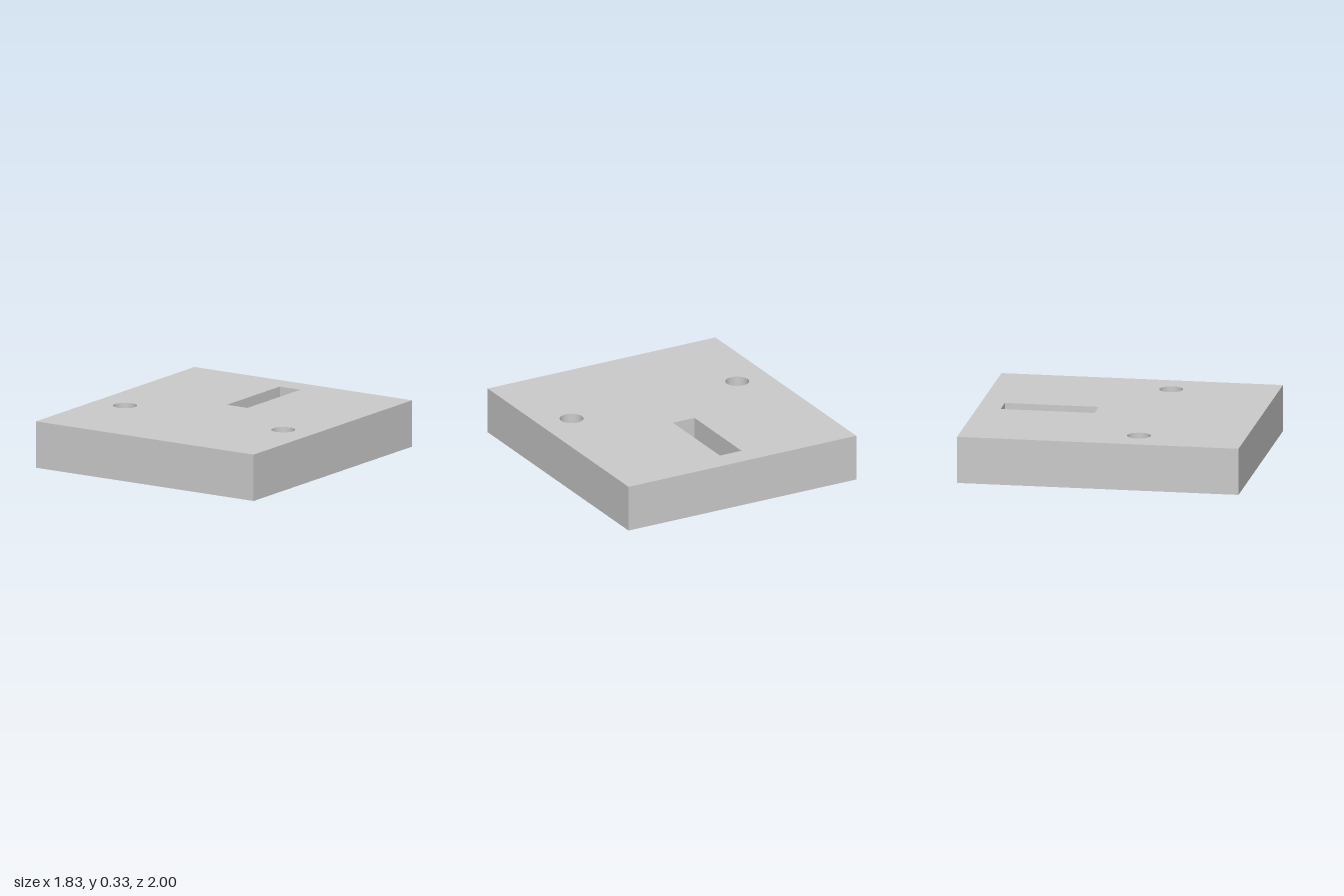
import * as THREE from 'three';

const WIDTH = 1.8333, DEPTH = 2, HEIGHT = 0.3333;
const BORE_RADIUS = 0.0833, BORE_DEPTH = 0.1667;
const BORE_X = 0.6667, BORE_Z = 0.25;

// Rectangle outline in plan, where shape y is -z
function rectangle(path, x0, x1, z0, z1) {
  path.moveTo(x0, -z1);
  path.lineTo(x1, -z1);
  path.lineTo(x1, -z0);
  path.lineTo(x0, -z0);
  path.closePath();
  return path;
}

// One horizontal layer of the block, with the slot and optional round bores
function layer(name, y0, y1, withBores, material) {
  const shape = rectangle(new THREE.Shape(), -WIDTH / 2, WIDTH / 2, -DEPTH / 2, DEPTH / 2);
  shape.holes.push(rectangle(new THREE.Path(), -0.0867, 0.0867, -0.8333, -0.1667));
  if (withBores) {
    for (const side of [-1, 1]) {
      const bore = new THREE.Path();
      bore.absarc(side * BORE_X, -BORE_Z, BORE_RADIUS, 0, Math.PI * 2, true);
      shape.holes.push(bore);
    }
  }
  const geometry = new THREE.ExtrudeGeometry(shape, {
    depth: y1 - y0, bevelEnabled: false, curveSegments: 24,
  });
  geometry.rotateX(-Math.PI / 2);
  geometry.translate(0, y0, 0);
  const mesh = new THREE.Mesh(geometry, material);
  mesh.name = name;
  return mesh;
}

export function createModel() {
  const group = new THREE.Group();
  group.name = 'slottedBlock';
  const material = new THREE.MeshStandardMaterial({ color: 0xcccccc });

  // The lower layer closes the bores; the slot runs through both layers
  const boreFloor = HEIGHT - BORE_DEPTH;
  group.add(layer('lowerBlock', 0, boreFloor, false, material));
  group.add(layer('upperBlock', boreFloor, HEIGHT, true, material));
  return group;
}
